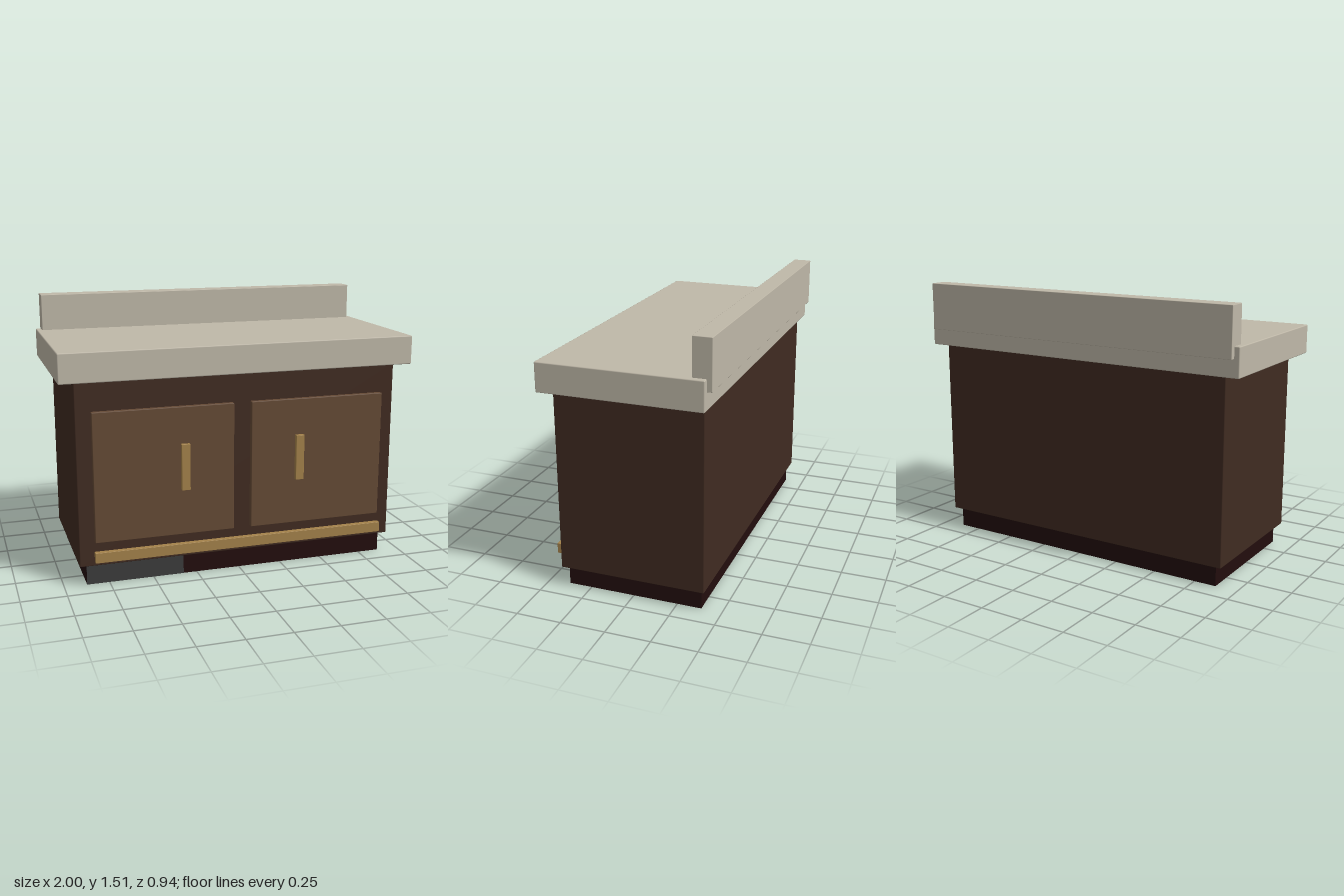
import * as THREE from 'three';
import { RoundedBoxGeometry } from 'three/addons/geometries/RoundedBoxGeometry.js';

const material = (name, color) => {
  const m = new THREE.MeshStandardMaterial({ color });
  m.name = name;
  return m;
};

export function createModel() {
  const stone = material('pale stone', 0xbfb8a8);
  const darkWood = material('dark wood', 0x402b21);
  const doorWood = material('door wood', 0x654a35);
  const brass = material('brass', 0xa4824a);
  const plinthBrown = material('plinth brown', 0x220d0d);
  const grey = material('grey', 0x3b3b3b);

  const model = new THREE.Group();
  model.name = 'cabinet';

  // Box given by its limits on each axis, with an optional small edge bevel
  function box(name, mat, [x0, x1], [y0, y1], [z0, z1], bevel = 0) {
    const size = [x1 - x0, y1 - y0, z1 - z0];
    const geometry = bevel
      ? new RoundedBoxGeometry(...size, 1, bevel)
      : new THREE.BoxGeometry(...size);
    const mesh = new THREE.Mesh(geometry, mat);
    mesh.name = name;
    mesh.position.set((x0 + x1) / 2, (y0 + y1) / 2, (z0 + z1) / 2);
    model.add(mesh);
  }

  // Plinth with a grey panel on part of its front
  box('plinth', plinthBrown, [-0.875, 0.875], [0, 0.118], [-0.385, 0.38]);
  box('plinthPanel', grey, [-0.875, -0.327], [0, 0.115], [0.379, 0.382]);

  // Body, worktop and upstand
  box('body', darkWood, [-0.915, 0.915], [0.115, 1.145], [-0.412, 0.407], 0.005);
  box('worktop', stone, [-1, 1], [1.14, 1.302], [-0.44, 0.46], 0.006);
  box('backsplash', stone, [-0.97, 0.97], [1.237, 1.507], [-0.468, -0.364], 0.003);

  // Mirrored doors and handles
  for (const [side, s] of [['left', 1], ['right', -1]]) {
    const span = (a, b) => (s > 0 ? [a, b] : [-b, -a]);
    box(side + 'Door', doorWood, span(0.05, 0.832), [0.258, 0.98], [0.415, 0.446], 0.004);
    box(side + 'Handle', brass, span(0.306, 0.354), [0.518, 0.776], [0.445, 0.47], 0.002);
  }

  // Rail below the doors
  box('lowerRail', brass, [-0.838, 0.838], [0.152, 0.21], [0.438, 0.469], 0.002);

  return model;
}
